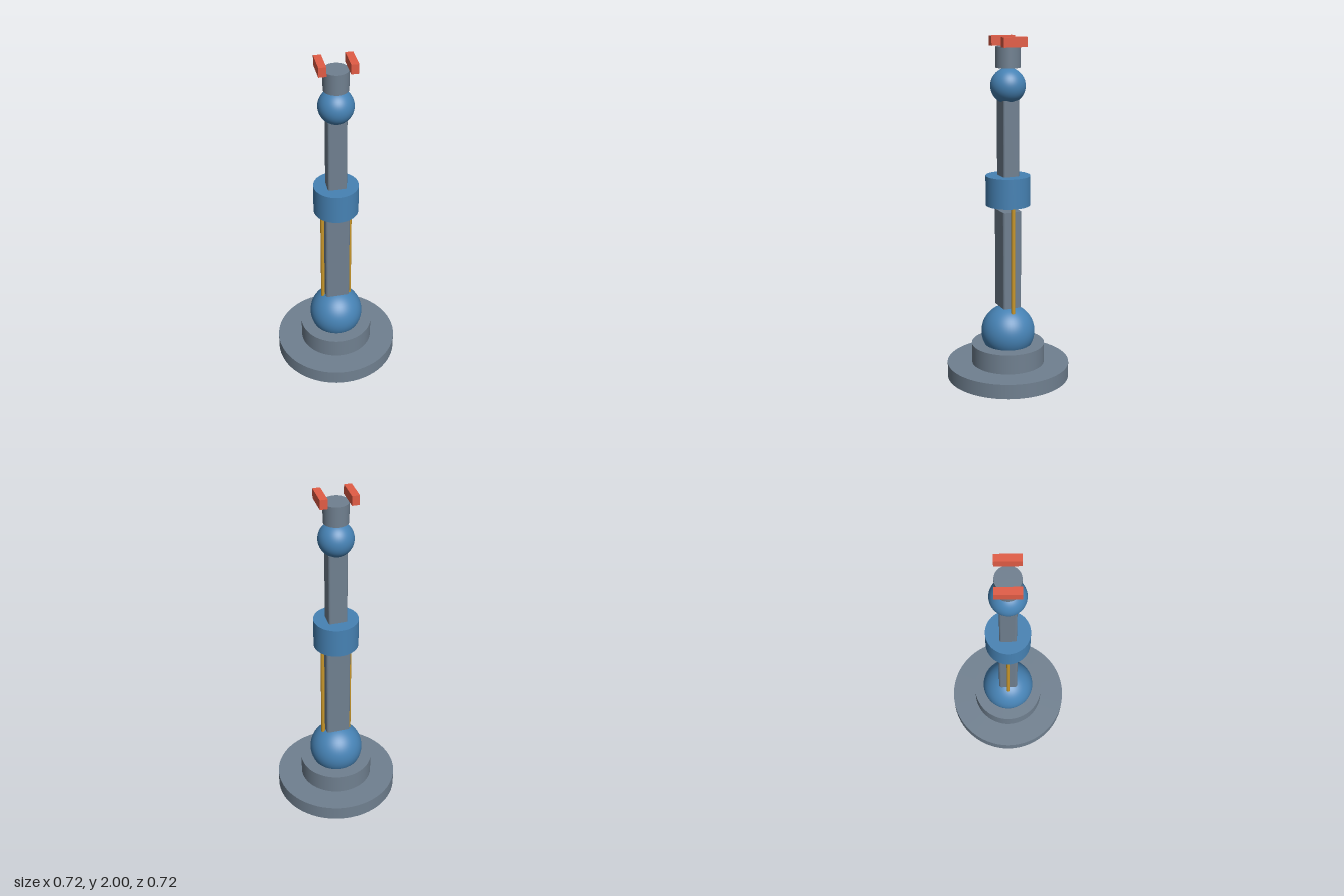
import * as THREE from 'three';

const steel = new THREE.MeshStandardMaterial({ color: 0x708090 });
const blue = new THREE.MeshStandardMaterial({ color: 0x4682b4 });
const gold = new THREE.MeshStandardMaterial({ color: 0xc8962a });
const red = new THREE.MeshStandardMaterial({ color: 0xe25c45 });

export function createModel() {
  const model = new THREE.Group();
  model.name = 'robotArm';

  const add = (name, geometry, material, x, y) => {
    const mesh = new THREE.Mesh(geometry, material);
    mesh.name = name;
    mesh.position.set(x, y, 0);
    model.add(mesh);
  };
  // Upright cylinder between two heights
  const cylinder = (name, r, y0, y1, material, x = 0, sides = 64) =>
    add(name, new THREE.CylinderGeometry(r, r, y1 - y0, sides), material, x, (y0 + y1) / 2);
  const ball = (name, r, y) => add(name, new THREE.SphereGeometry(r, 48, 32), blue, 0, y);

  // Upright bar with rounded vertical edges and flat ends
  const bar = (name, hx, hz, r, y0, y1) => {
    const s = new THREE.Shape();
    s.absarc(hx - r, hz - r, r, 0, Math.PI / 2);
    s.absarc(r - hx, hz - r, r, Math.PI / 2, Math.PI);
    s.absarc(r - hx, r - hz, r, Math.PI, Math.PI * 1.5);
    s.absarc(hx - r, r - hz, r, Math.PI * 1.5, Math.PI * 2);
    s.closePath();
    const g = new THREE.ExtrudeGeometry(s, { depth: y1 - y0, bevelEnabled: false, curveSegments: 6 });
    add(name, g.rotateX(-Math.PI / 2), steel, 0, y0);
  };

  // Stepped base and shoulder
  cylinder('basePlate', 0.361, 0, 0.087, steel);
  cylinder('turntable', 0.216, 0.087, 0.204, steel);
  ball('shoulderJoint', 0.159, 0.276);

  // Arm segments and elbow
  bar('lowerArm', 0.073, 0.058, 0.015, 0.437, 1.014);
  cylinder('elbowCollar', 0.13, 1.045, 1.217, blue);
  bar('upperArm', 0.056, 0.05, 0.012, 1.217, 1.65);

  // Wrist
  ball('wristJoint', 0.101, 1.727);
  cylinder('wristMount', 0.072, 1.828, 1.945, steel);

  // Mirrored piston rods and gripper fingers
  for (const [side, sign] of [['left', 1], ['right', -1]]) {
    cylinder(side + 'Rod', 0.0115, 0.408, 1.044, gold, sign * 0.082, 24);
    add(side + 'Finger', new THREE.BoxGeometry(0.042, 0.055, 0.146), red, sign * 0.087, 1.9725);
  }
  return model;
}
